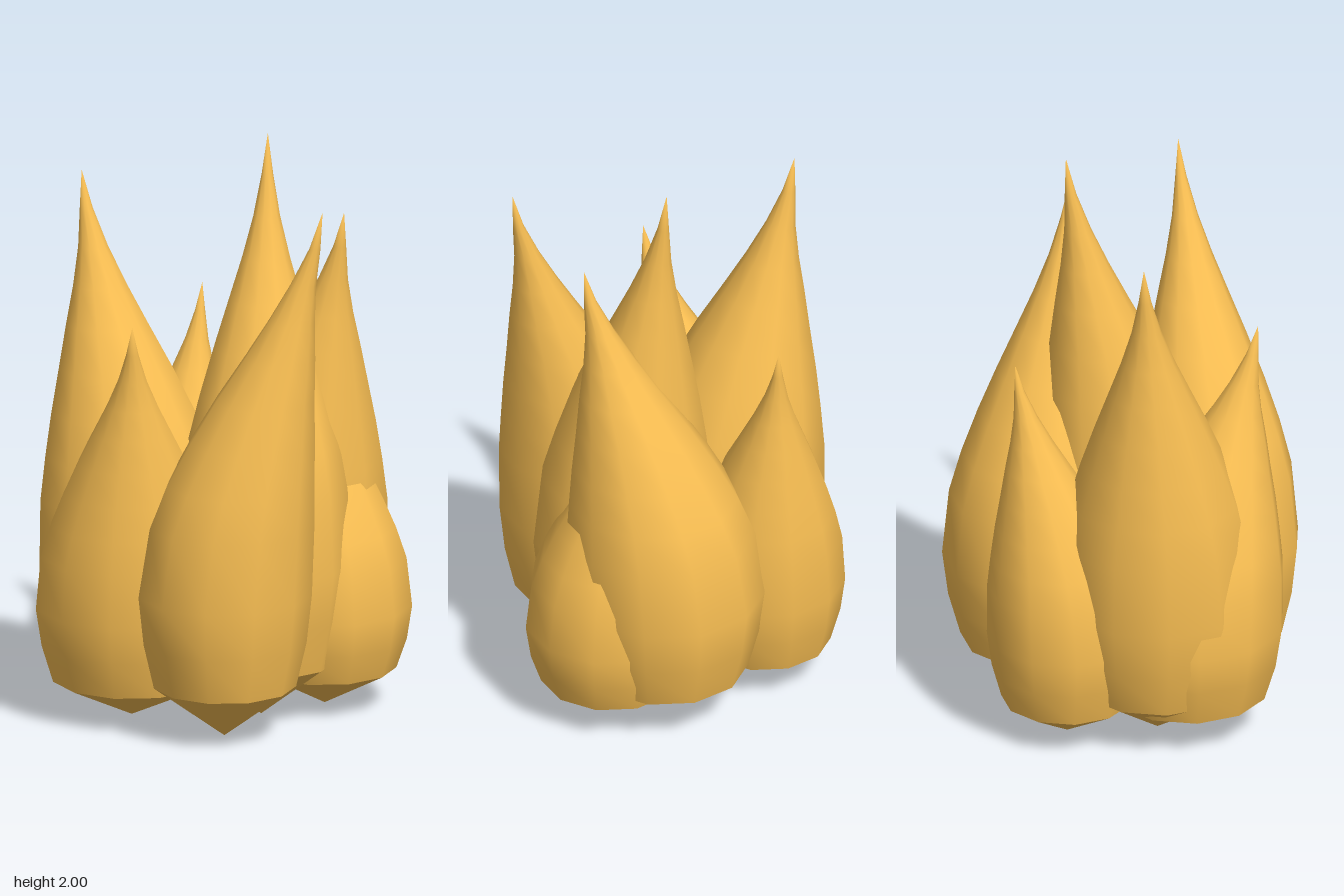
import * as THREE from 'three';
import { mergeVertices } from 'three/addons/utils/BufferGeometryUtils.js';

const SIDES = 11;
const RIM = 0.82; // lower rim radius as a fraction of the widest radius

// Height fraction, radius fraction, and how far the centre has moved to the tip
const PROFILE = [
  [0.18, 0.94, 0], [0.27, 1, 0], [0.4, 0.95, 0.07], [0.48, 0.85, 0.16], [0.56, 0.72, 0.28],
  [0.64, 0.57, 0.41], [0.72, 0.41, 0.56], [0.79, 0.27, 0.68], [0.86, 0.15, 0.8], [0.93, 0.065, 0.92], [1, 0, 1],
];

// Body centre (x, z), widest radius, height of the lower rim, and tip
const FLAMES = [
  { name: 'centreFlame', base: [0.18, -0.03], r: 0.31, rim: 0.19, tip: [0.04, 2, -0.2] },
  { name: 'frontRightFlame', base: [-0.185, 0.2], r: 0.345, rim: 0.18, tip: [-0.43, 1.86, 0.23] },
  { name: 'frontLeftFlame', base: [0.285, 0.25], r: 0.3, rim: 0.18, tip: [0.55, 1.87, 0.04] },
  { name: 'backFlame', base: [0.05, -0.285], r: 0.345, rim: 0.17, tip: [0.33, 1.76, -0.28] },
  { name: 'backLeftFlame', base: [0.235, -0.28], r: 0.3, rim: 0.13, tip: [0.15, 1.3, -0.28] },
  { name: 'frontFlame', base: [-0.125, 0.29], r: 0.335, rim: 0.13, tip: [0.07, 1.45, 0.48] },
  { name: 'backRightFlame', base: [-0.305, -0.085], r: 0.275, rim: 0.13, tip: [-0.34, 1.38, -0.26] },
];

// Lathe with its seam welded so the normals run smoothly round
function latheSmooth(points) {
  const geo = new THREE.LatheGeometry(points.map(([r, y]) => new THREE.Vector2(r, y)), SIDES);
  geo.deleteAttribute('uv');
  geo.deleteAttribute('normal');
  return mergeVertices(geo, 1e-4);
}

function makeFlame({ name, base, r, rim, tip }, bodyMaterial, baseMaterial) {
  const group = new THREE.Group();
  group.name = name;
  const height = tip[1];

  // Teardrop body whose rings slide toward its tip
  const geo = latheSmooth([[r * RIM, rim], ...PROFILE.map(([t, f]) => [f * r, t * height])]);
  const pos = geo.attributes.position;
  for (let i = 0; i < pos.count; i++) {
    const row = PROFILE.find(([t]) => Math.abs(t * height - pos.getY(i)) < 1e-4);
    const shift = row ? row[2] : 0;
    pos.setX(i, pos.getX(i) + THREE.MathUtils.lerp(base[0], tip[0], shift));
    pos.setZ(i, pos.getZ(i) + THREE.MathUtils.lerp(base[1], tip[2], shift));
  }
  geo.computeVertexNormals();
  const body = new THREE.Mesh(geo, bodyMaterial);
  body.name = 'flameBody';

  // Shallow pointed underside
  const under = latheSmooth([[0, 0], [r * RIM, rim]]);
  under.translate(base[0], 0, base[1]);
  under.computeVertexNormals();
  const underside = new THREE.Mesh(under, baseMaterial);
  underside.name = 'flameUnderside';

  group.add(body, underside);
  return group;
}

export function createModel() {
  const model = new THREE.Group();
  model.name = 'flameCluster';
  const bodyMaterial = new THREE.MeshStandardMaterial({ color: 0xf9bf53 });
  const baseMaterial = new THREE.MeshStandardMaterial({ color: 0xf9bf53, flatShading: true });
  for (const flame of FLAMES) model.add(makeFlame(flame, bodyMaterial, baseMaterial));
  return model;
}
